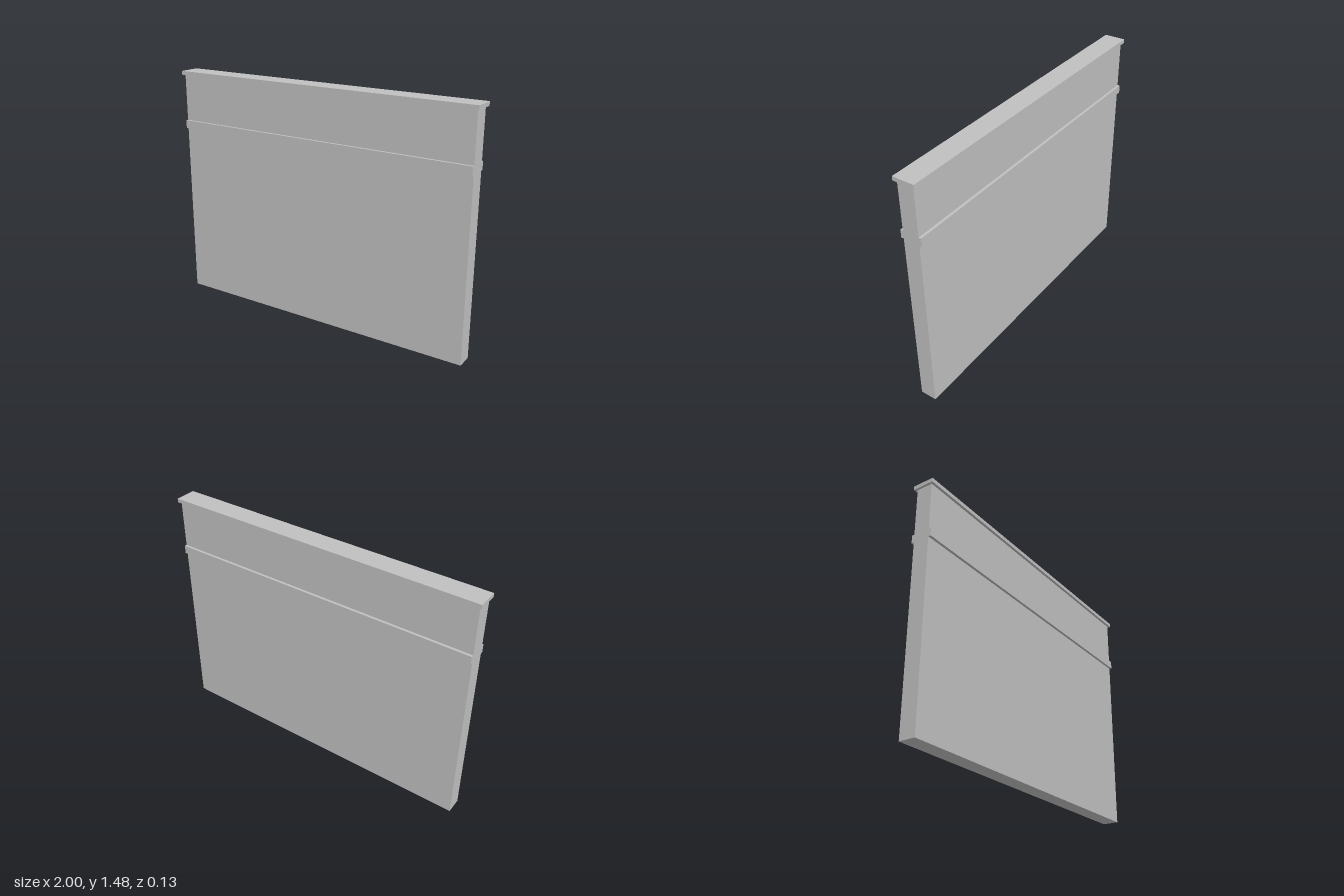
import * as THREE from 'three';

export function createModel() {
  const model = new THREE.Group();
  model.name = 'partitionWall';

  const grey = new THREE.MeshStandardMaterial({ color: 0xc0c0c0 });
  grey.name = 'grey';

  // Box spanning bottom to top in y, centred on x, at depth z
  const addBox = (name, width, bottom, top, depth, z = 0) => {
    const mesh = new THREE.Mesh(new THREE.BoxGeometry(width, top - bottom, depth), grey);
    mesh.name = name;
    mesh.position.set(0, (bottom + top) / 2, z);
    model.add(mesh);
  };

  const width = 1.974, thickness = 0.1, overhang = 0.016;

  // Main slab
  addBox('panel', width, 0, 1.452, thickness);

  // Cap overhanging on all sides
  addBox('topCap', 2, 1.452, 1.476, thickness + 2 * overhang);

  // Rail strips, flush with the panel ends
  for (const [name, side] of [['frontRail', 1], ['backRail', -1]]) {
    addBox(name, width, 1.11, 1.16, overhang, side * (thickness + overhang) / 2);
  }

  return model;
}
